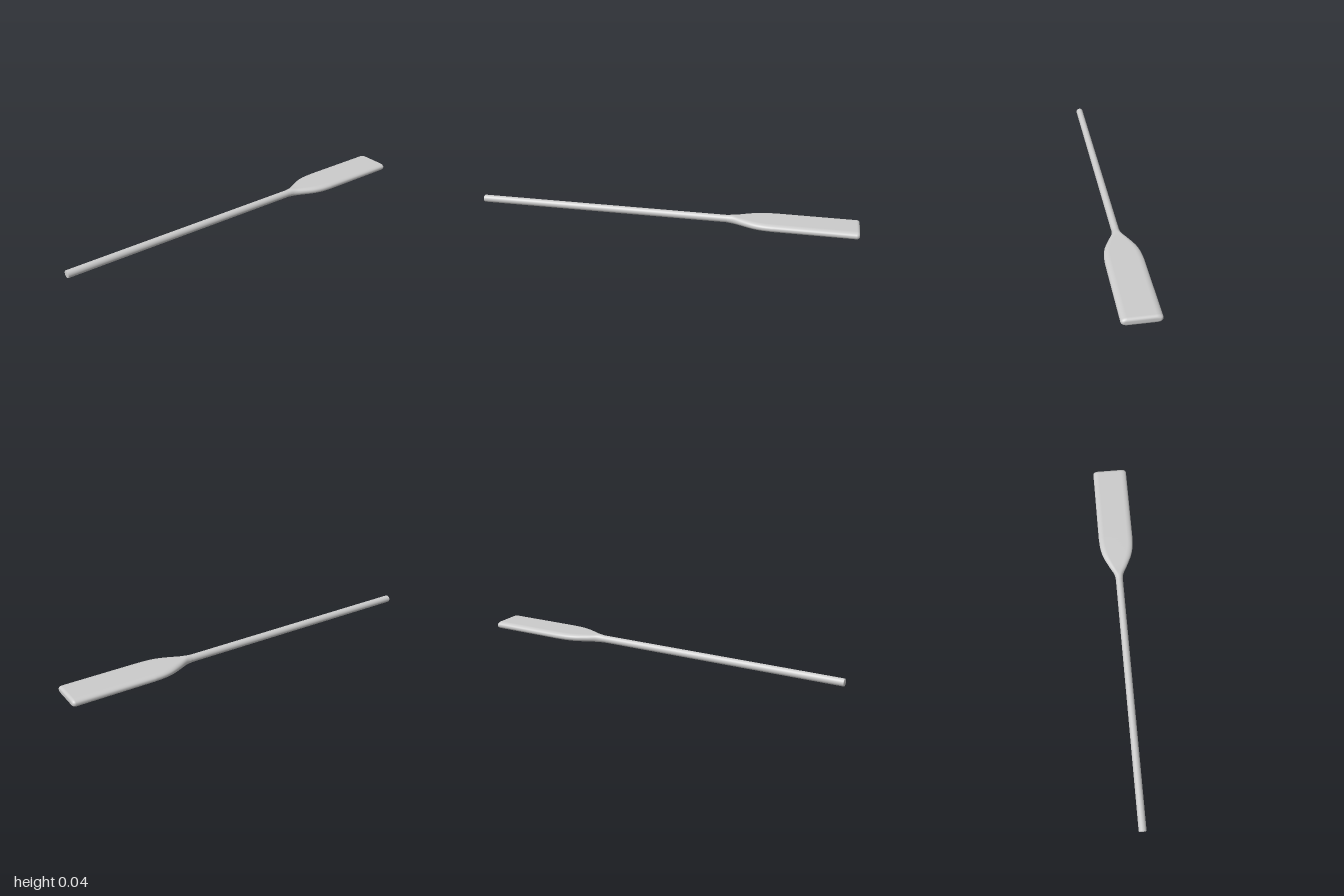
import * as THREE from 'three';

const MID = 0.0215; // height of the paddle's axis

// Rounded-rectangle ring in the z/y plane with elliptical corners
function ring(hw, ht, rz, ry, steps = 8) {
  const pts = [];
  for (let q = 0; q < 4; q++) {
    const sz = q === 0 || q === 3 ? 1 : -1;
    const sy = q < 2 ? 1 : -1;
    for (let i = 0; i <= steps; i++) {
      const a = (q + i / steps) * Math.PI / 2;
      pts.push([sz * (hw - rz) + Math.cos(a) * rz, sy * (ht - ry) + Math.sin(a) * ry]);
    }
  }
  return pts;
}

// Skin rings placed along x
function loft(stations) {
  const pos = [], idx = [];
  const n = ring(1, 1, 0.5, 0.5).length;
  stations.forEach(([x, hw, ht, rz, ry]) => {
    for (const [z, y] of ring(hw, ht, rz, ry)) pos.push(x, y, z);
  });
  for (let s = 0; s < stations.length - 1; s++) {
    for (let i = 0; i < n; i++) {
      const a = s * n + i, b = s * n + (i + 1) % n;
      idx.push(a, b, a + n, b, b + n, a + n);
    }
  }
  // close the far end
  const last = (stations.length - 1) * n;
  pos.push(stations[stations.length - 1][0], 0, 0);
  for (let i = 0; i < n; i++) idx.push(last + i, last + (i + 1) % n, stations.length * n);
  const g = new THREE.BufferGeometry();
  g.setAttribute('position', new THREE.Float32BufferAttribute(pos, 3));
  // keep the winding facing outward
  for (let i = 0; i < idx.length; i += 3) {
    const [a, b, c] = [0, 1, 2].map(k => new THREE.Vector3().fromArray(pos, idx[i + k] * 3));
    const nrm = b.clone().sub(a).cross(c.clone().sub(a));
    const out = a.clone().add(b).add(c).divideScalar(3);
    out.x = out.x > 0.97 ? 0.02 : 0;
    if (nrm.dot(out) < 0) [idx[i + 1], idx[i + 2]] = [idx[i + 2], idx[i + 1]];
  }
  g.setIndex(idx);
  g.computeVertexNormals();
  return g;
}

export function createModel() {
  const group = new THREE.Group();
  const material = new THREE.MeshStandardMaterial({ color: 0xcccccc, roughness: 0.8, side: THREE.DoubleSide });
  const add = (name, geometry) => {
    const mesh = new THREE.Mesh(geometry, material);
    mesh.name = name;
    mesh.position.y = MID;
    group.add(mesh);
  };

  // Round shaft with a softly broken end, turned to lie along x
  const profile = [[0, -1], [0.017, -1], [0.0193, -0.997], [0.0193, 0.35]]
    .map(([r, x]) => new THREE.Vector2(r, x));
  const tube = new THREE.LatheGeometry(profile, 32);
  tube.rotateZ(-Math.PI / 2);
  add('shaft', tube);

  // Blade half-width along x, flaring from the shaft
  const flare = new THREE.CatmullRomCurve3([
    [0.33, 0.0193], [0.36, 0.024], [0.41, 0.049], [0.47, 0.076],
    [0.52, 0.088], [0.58, 0.0925],
  ].map(([x, w]) => new THREE.Vector3(x, w, 0)));
  const stations = [];
  for (let i = 0; i <= 24; i++) {
    const p = flare.getPoint(i / 24);
    const t = THREE.MathUtils.smoothstep(p.x, 0.33, 0.5);
    const bump = 0.002 * Math.exp(-(((p.x - 0.36) / 0.02) ** 2));
    const ht = 0.0195 + bump;
    const rz = Math.min(p.y, THREE.MathUtils.lerp(0.0193, 0.03, t));
    stations.push([p.x, p.y, ht, rz, THREE.MathUtils.lerp(ht, 0.0175, t)]);
  }
  // Straight part, then the rounded tip
  stations.push([0.75, 0.0925, 0.0195, 0.03, 0.0175]);
  const r = 0.016;
  for (let i = 0; i <= 8; i++) {
    const a = (i / 8) * Math.PI / 2;
    const d = r * (1 - Math.cos(a));
    stations.push([1 - r + r * Math.sin(a), 0.0925 - d, 0.0195 - d * 0.85, 0.03 - d, 0.0175 - d * 0.9]);
  }
  add('blade', loft(stations));
  return group;
}
